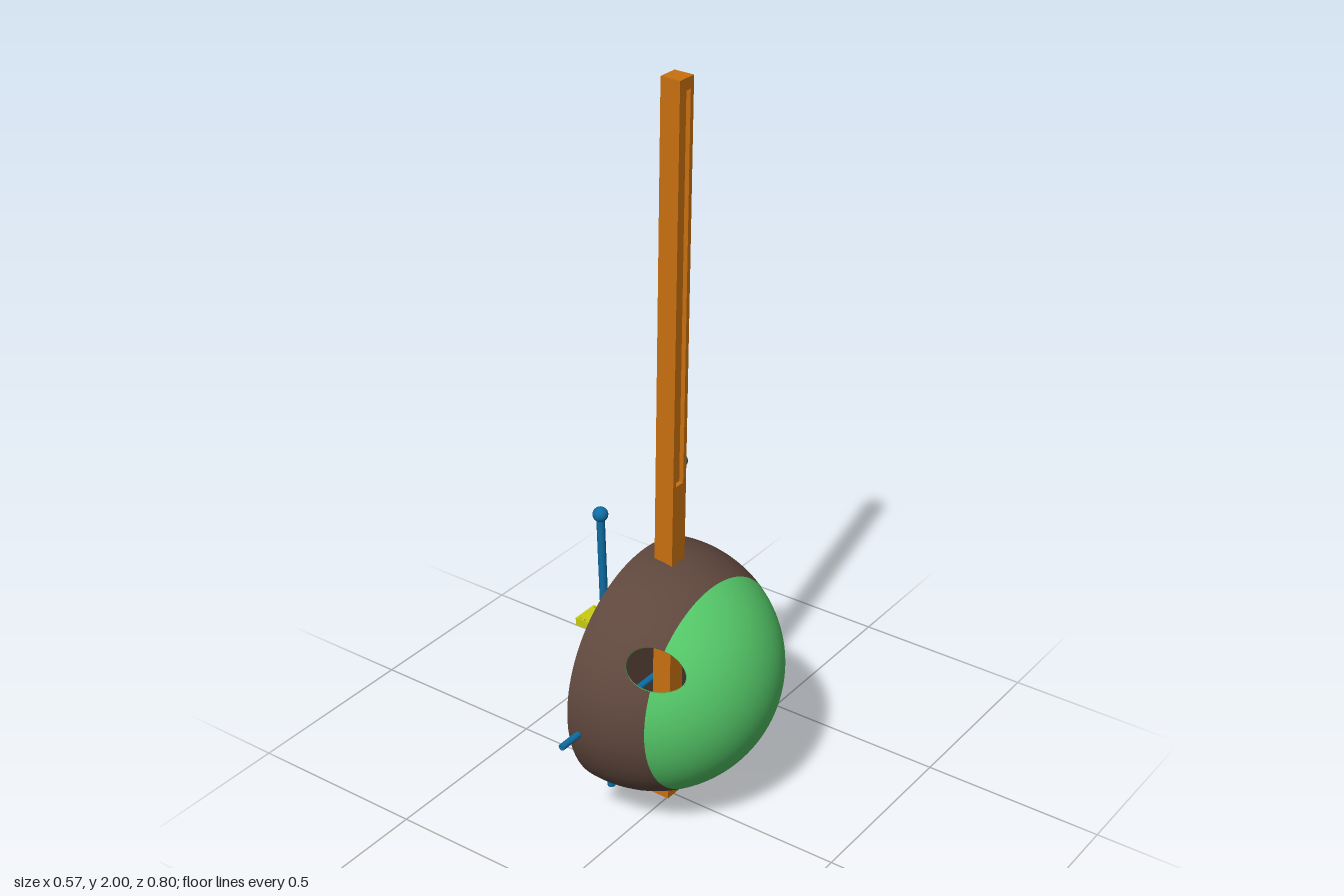
import * as THREE from 'three';

const mat = (name, color) => {
  const m = new THREE.MeshStandardMaterial({ color });
  m.name = name;
  return m;
};

export function createModel() {
  const model = new THREE.Group();
  model.name = 'harpLute';
  const hide = mat('brown hide', 0x5f473d);
  const gourd = mat('green gourd', 0x55c969);
  const wood = mat('orange wood', 0xc87010);
  const blue = mat('blue rods', 0x0f6da3);
  const yellow = mat('yellow bridge', 0xc9cc10);
  const magenta = mat('magenta pad', 0xb80f68);

  const add = (name, geometry, material, x = 0, y = 0, z = 0, parent = model) => {
    const mesh = new THREE.Mesh(geometry, material);
    mesh.name = name;
    mesh.position.set(x, y, z);
    parent.add(mesh);
    return mesh;
  };

  // Round rod between two points
  const rod = (name, a, b, radius, material) => {
    const dir = b.clone().sub(a);
    const mesh = add(name, new THREE.CylinderGeometry(radius, radius, dir.length(), 20), material);
    mesh.position.copy(a).add(b).multiplyScalar(0.5);
    mesh.quaternion.setFromUnitVectors(new THREE.Vector3(0, 1, 0), dir.normalize());
    return mesh;
  };

  // Bowl: part of a sphere around the x axis, with an oval sound hole on the colour border
  const centre = new THREE.Vector3(-0.05, 0.4, 0);
  const R = 0.333, INNER = 0.325;
  const BORDER = 1.035, CUT = 1.676;
  const hole = { theta: BORDER, phi: 0.613, a: 0.236, b: 0.185 };
  const direction = (t, p) =>
    new THREE.Vector3(Math.cos(t), Math.sin(t) * Math.sin(p), Math.sin(t) * Math.cos(p));
  const onSphere = (r, t, p) => direction(t, p).multiplyScalar(r).add(centre);

  // Surface through rows of points, all rows of equal length
  const surface = (rows, flip = false) => {
    const pos = [], index = [], n = rows[0].length;
    rows.forEach(row => row.forEach(p => pos.push(p.x, p.y, p.z)));
    for (let i = 0; i < rows.length - 1; i++) {
      for (let j = 0; j < n - 1; j++) {
        const a = i * n + j, b = a + 1, c = a + n, d = c + 1;
        if (flip) index.push(a, c, b, b, c, d);
        else index.push(a, b, c, b, d, c);
      }
    }
    const g = new THREE.BufferGeometry();
    g.setAttribute('position', new THREE.Float32BufferAttribute(pos, 3));
    g.setIndex(index);
    g.computeVertexNormals();
    return g;
  };

  // Each row runs from one edge of the sound hole round to the other
  const shell = (r, t0, t1, inward) => {
    const thetas = [];
    for (let i = 0; i <= 36; i++) thetas.push(t0 + (t1 - t0) * i / 36);
    for (let k = 0; k <= 24; k++) {
      const t = hole.theta + hole.a * Math.cos(Math.PI * k / 24);
      if (t > t0 && t < t1) thetas.push(t);
    }
    thetas.sort((a, b) => a - b);
    const rows = thetas.map(t => {
      const w = hole.b * Math.sqrt(Math.max(0, 1 - ((t - hole.theta) / hole.a) ** 2));
      return Array.from({ length: 97 }, (_, j) =>
        onSphere(r, t, hole.phi + w + (2 * Math.PI - 2 * w) * j / 96));
    });
    const g = surface(rows, inward);
    const normals = rows.flat().flatMap(p =>
      p.clone().sub(centre).multiplyScalar((inward ? -1 : 1) / r).toArray());
    g.setAttribute('normal', new THREE.Float32BufferAttribute(normals, 3));
    return g;
  };
  add('gourdBack', shell(R, 0, BORDER, false), gourd);
  add('hideSkin', shell(R, BORDER, CUT, false), hide);
  add('gourdInside', shell(INNER, 0, CUT, true), gourd);

  // Rim of the sound hole
  const rimRows = Array.from({ length: 49 }, (_, i) => {
    const s = 2 * Math.PI * i / 48;
    return [R, INNER].map(r =>
      onSphere(r, hole.theta + hole.a * Math.cos(s), hole.phi + hole.b * Math.sin(s)));
  });
  add('soundHoleRim', surface(rimRows), gourd);

  // Flat skin closing the bowl
  add('soundboard', new THREE.CylinderGeometry(0.331, 0.331, 0.006, 96), hide, -0.082, 0.4, 0)
    .rotation.z = Math.PI / 2;

  // Leaning neck with a long groove in its +x face
  const neck = new THREE.Group();
  neck.name = 'neck';
  neck.position.x = -0.022;
  neck.rotation.z = -0.0178;
  model.add(neck);
  const W = 0.027, GROOVE = 0.012;
  add('neckCore', new THREE.BoxGeometry(2 * W - GROOVE, 2, 2 * W), wood, -GROOVE / 2, 1, 0, neck);
  const rect = (Type, x0, y0, x1, y1) => {
    const s = new Type();
    s.moveTo(x0, y0).lineTo(x1, y0).lineTo(x1, y1).lineTo(x0, y1).closePath();
    return s;
  };
  const face = rect(THREE.Shape, -W, 0, W, 2);
  face.holes.push(rect(THREE.Path, -0.015, 0.95, 0.015, 1.97));
  add('neckFace', new THREE.ExtrudeGeometry(face, { depth: GROOVE, bevelEnabled: false }),
    wood, W - GROOVE, 0, 0, neck).rotation.y = Math.PI / 2;

  // Tail pin through the foot of the neck
  const pin = [[0, -0.069], [0.007, -0.066], [0.01, -0.058], [0.006, -0.045],
    [0.006, 0.045], [0.01, 0.058], [0.007, 0.066], [0, 0.069]];
  add('tailPin', new THREE.LatheGeometry(pin.map(p => new THREE.Vector2(...p)), 20),
    hide, -0.039, 0.043, 0).rotation.z = -Math.PI / 2;

  // Hand posts with ball tops, spreading upward
  for (const side of [1, -1]) {
    const top = new THREE.Vector3(-0.096, 0.905, side * 0.168);
    rod('handPost', new THREE.Vector3(-0.096, 0.07, side * 0.14), top, 0.0105, blue);
    add('handPostBall', new THREE.SphereGeometry(0.0195, 28, 18), blue, top.x, top.y, top.z);
  }

  // Cross bar through the bowl
  rod('crossBar', new THREE.Vector3(-0.052, 0.36, -0.398),
    new THREE.Vector3(-0.052, 0.36, 0.398), 0.009, blue);

  // Bridge plate with two rows of string holes, and its pad
  const plate = rect(THREE.Shape, -0.284, -0.039, -0.094, 0.039);
  for (const [row, count] of [[1, 11], [-1, 10]]) {
    for (let i = 0; i < count; i++) {
      const p = new THREE.Path();
      p.absarc(-0.2726 + i * 0.0158, row * 0.032, 0.004, 0, 2 * Math.PI, true);
      plate.holes.push(p);
    }
  }
  add('bridge', new THREE.ExtrudeGeometry(plate, { depth: 0.022, bevelEnabled: false, curveSegments: 6 }),
    yellow, 0, 0.445, 0).rotation.x = -Math.PI / 2;
  add('bridgePad', new THREE.BoxGeometry(0.01, 0.085, 0.07), magenta, -0.09, 0.456, 0);

  return model;
}
